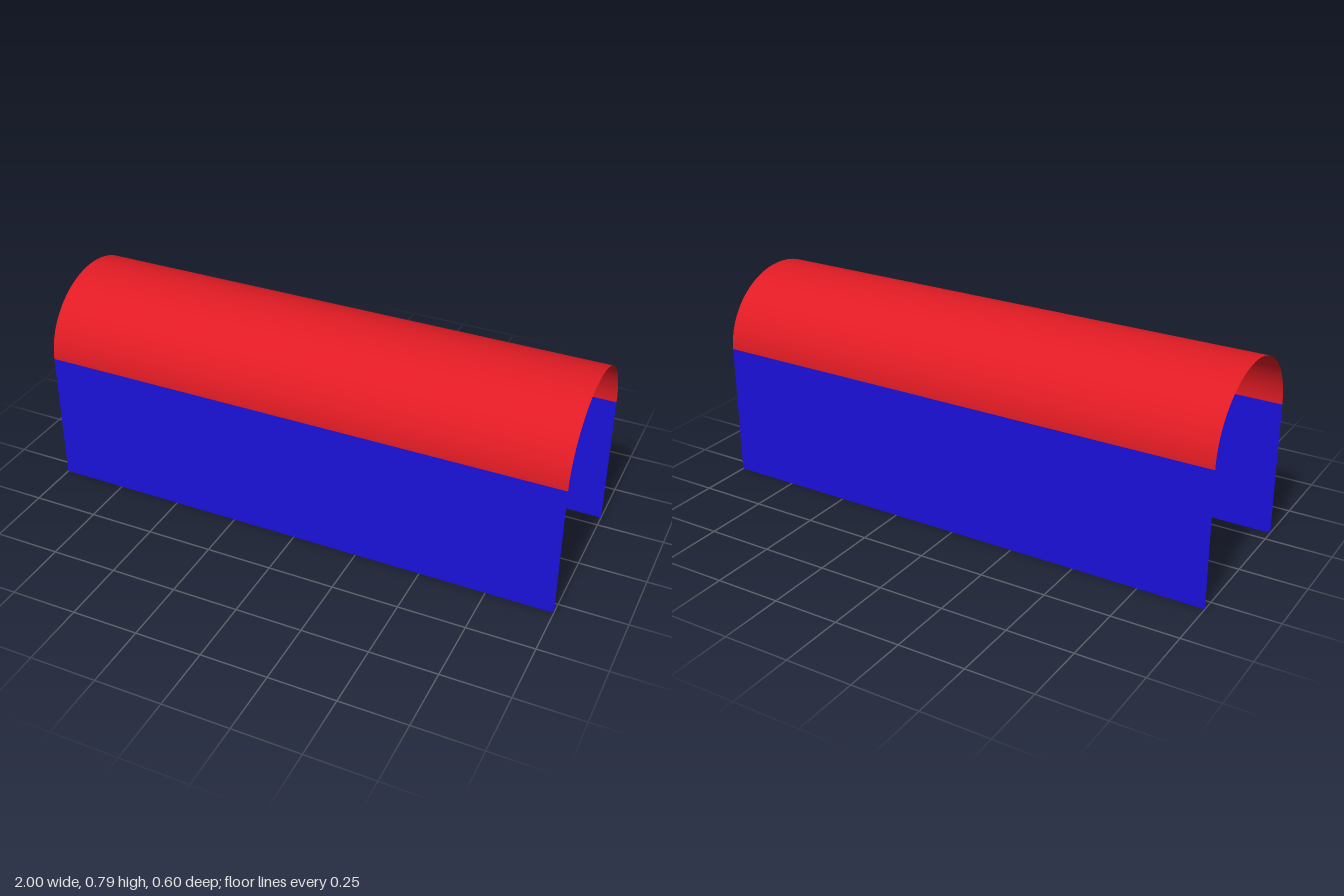
import * as THREE from 'three';

const LENGTH = 2, HALF_WIDTH = 0.3, WALL_HEIGHT = 0.516, ROOF_RISE = 0.27;

function sheet(name, geometry, color) {
  const material = new THREE.MeshStandardMaterial({ color, side: THREE.DoubleSide });
  const mesh = new THREE.Mesh(geometry, material);
  mesh.name = name;
  return mesh;
}

export function createModel() {
  const group = new THREE.Group();
  group.name = 'archedShelter';

  // Barrel roof: an open half tube lying along x, slightly flattened
  const roof = new THREE.CylinderGeometry(HALF_WIDTH, HALF_WIDTH, LENGTH, 64, 1, true, 0, Math.PI);
  roof.rotateZ(Math.PI / 2);
  roof.scale(1, ROOF_RISE / HALF_WIDTH, 1);
  roof.translate(0, WALL_HEIGHT, 0);
  group.add(sheet('roof', roof, 0xe01b24));

  // Thin upright walls, both facing outward; ends and floor stay open
  for (const [name, turn] of [['frontWall', 0], ['backWall', Math.PI]]) {
    const wall = new THREE.PlaneGeometry(LENGTH, WALL_HEIGHT);
    wall.translate(0, WALL_HEIGHT / 2, HALF_WIDTH);
    wall.rotateY(turn);
    group.add(sheet(name, wall, 0x1a10d8));
  }

  return group;
}
